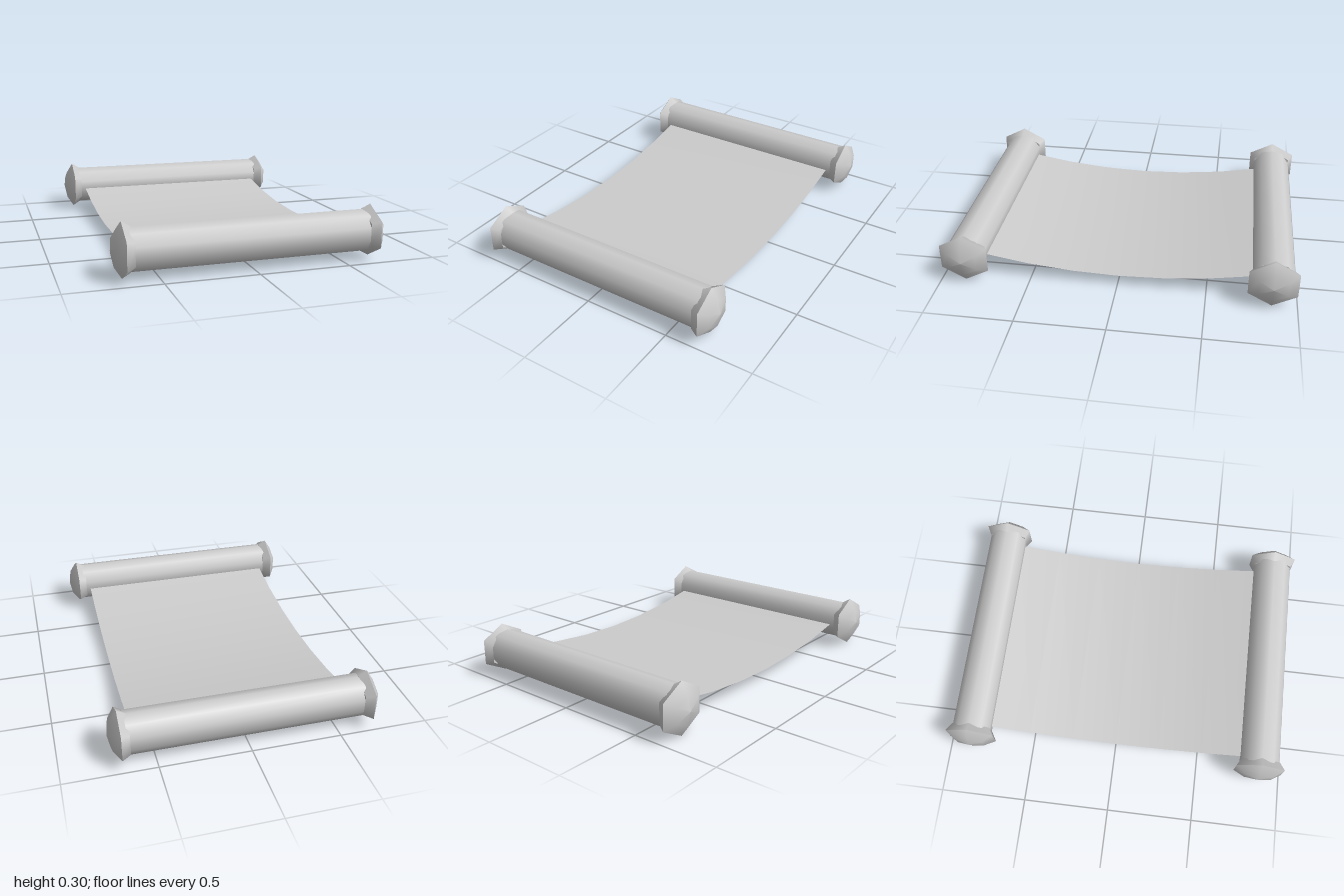
import * as THREE from 'three';

const ROD_Y = 0.148, ROD_Z = 0.86;

// Lathe around y with a vertex on the x axis, then laid along +x or -x
function turned(points, sides, dir, depth) {
  const profile = points.map(([r, h]) => new THREE.Vector2(r, h));
  const geo = new THREE.LatheGeometry(profile, sides, Math.PI / 2);
  geo.rotateZ(-dir * Math.PI / 2);
  geo.scale(1, 1, depth);
  return geo;
}

export function createModel() {
  const group = new THREE.Group();
  const grey = new THREE.MeshStandardMaterial({ color: 0xcccccc, side: THREE.DoubleSide });
  grey.name = 'plain grey';

  const add = (parent, name, geo) => {
    const mesh = new THREE.Mesh(geo, grey);
    mesh.name = name;
    parent.add(mesh);
  };

  // Two rods, each with a hexagonal flared knob at both ends
  for (const end of [1, -1]) {
    const roller = new THREE.Group();
    roller.name = end > 0 ? 'frontRoller' : 'backRoller';
    roller.position.set(0, ROD_Y, end * ROD_Z);

    add(roller, 'rod', turned([[0.117, -0.65], [0.117, 0.65]], 10, 1, 1));

    for (const side of [1, -1]) {
      const rim = side > 0 ? 0.143 : 0.148; // left knob is slightly smaller
      const label = side > 0 ? 'left' : 'right';
      add(roller, label + 'KnobFlare', turned([[0.118, 0.635], [rim, 0.683]], 6, side, 1.09));
      add(roller, label + 'KnobDome',
        turned([[rim, 0.683], [0.085, 0.723], [0, 0.74]], 6, side, 1.09));
      add(roller, label + 'KnobBack', turned([[0, 0.635], [0.118, 0.635]], 6, side, 1.09));
    }
    group.add(roller);
  }

  // Thin sheet sagging between the rods
  const sheet = new THREE.PlaneGeometry(1.22, 1.56, 1, 6);
  sheet.rotateX(-Math.PI / 2);
  const pos = sheet.attributes.position;
  for (let i = 0; i < pos.count; i++) {
    const t = pos.getZ(i) / 0.78;
    pos.setY(i, 0.062 + 0.08 * t * t);
  }
  sheet.computeVertexNormals();
  add(group, 'sheet', sheet);

  return group;
}
